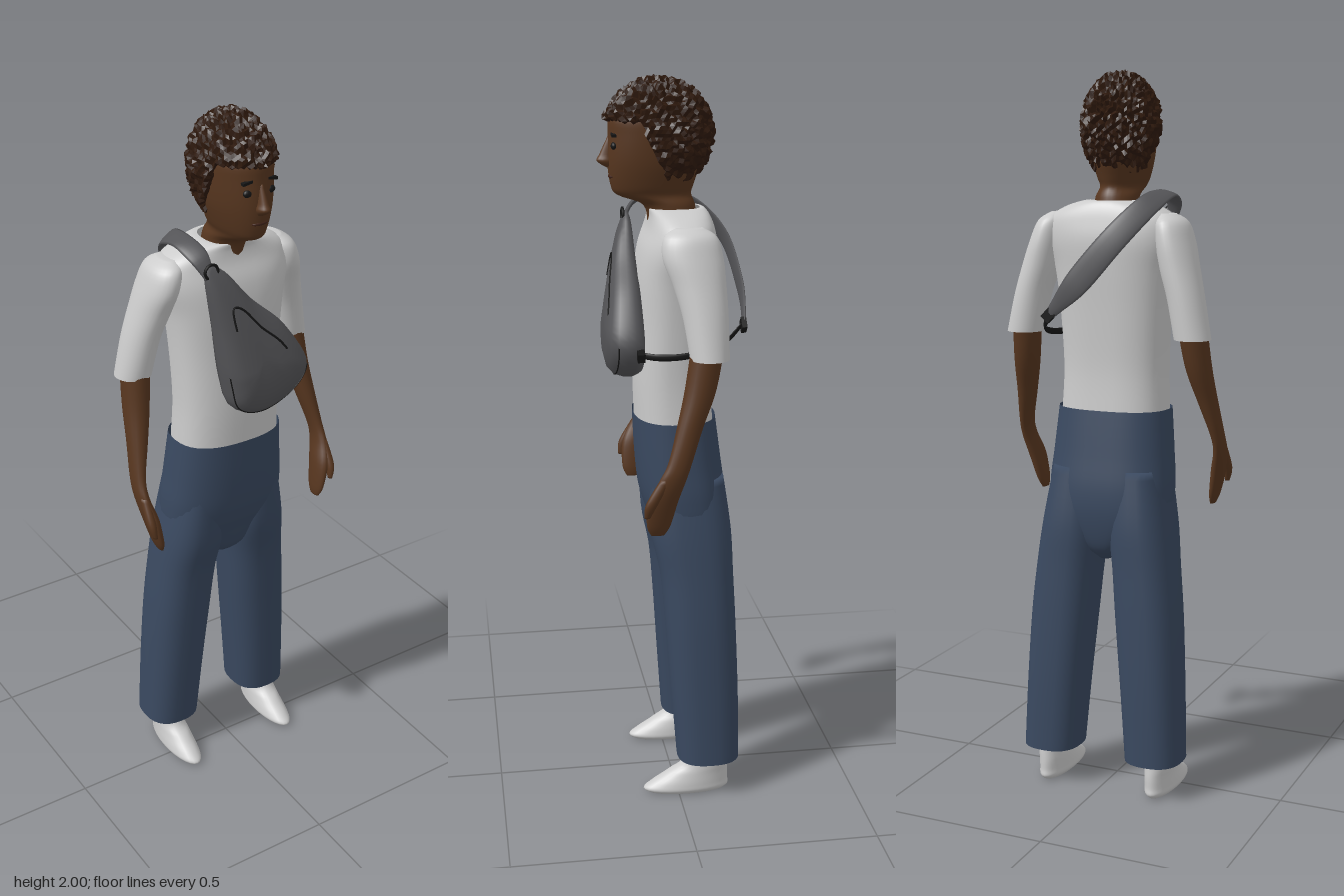
import * as THREE from 'three';

const mat = (color, extra = {}) => new THREE.MeshStandardMaterial({ color, side: THREE.DoubleSide, ...extra });
const CLOTH = mat(0xcccccc), SKIN = mat(0x57361f), DENIM = mat(0x3a4960), BAG = mat(0x555558);
const BLACK = mat(0x161616), HAIR = mat(0x2e190d, { flatShading: true });

// Smoothly subdivides rows of numbers (Catmull-Rom on every column)
function smooth(rows, sub) {
  const out = [];
  for (let i = 0; i < rows.length - 1; i++) {
    const a = rows[Math.max(i - 1, 0)], b = rows[i], c = rows[i + 1], d = rows[Math.min(i + 2, rows.length - 1)];
    for (let k = 0; k < sub; k++) {
      const t = k / sub;
      out.push(b.map((p, j) => p + 0.5 * t * (c[j] - a[j] + t * (2 * a[j] - 5 * p + 4 * c[j] - d[j]
        + t * (3 * (p - c[j]) + d[j] - a[j])))));
    }
  }
  out.push(rows[rows.length - 1]);
  return out;
}

// Skins closed rings of Vector3, with optional caps
function skin(rings, capStart = true, capEnd = true) {
  const n = rings[0].length, pts = rings.flat(), index = [];
  for (let i = 0; i < rings.length - 1; i++) {
    for (let j = 0; j < n; j++) {
      const a = i * n + j, b = i * n + (j + 1) % n;
      index.push(a, a + n, b, b, a + n, b + n);
    }
  }
  const cap = (ring, base, flip) => {
    const c = pts.length;
    pts.push(ring.reduce((s, p) => s.add(p), new THREE.Vector3()).divideScalar(n));
    for (let j = 0; j < n; j++) {
      const a = base + j, b = base + (j + 1) % n;
      flip ? index.push(c, b, a) : index.push(c, a, b);
    }
  };
  if (capStart) cap(rings[0], 0, false);
  if (capEnd) cap(rings[rings.length - 1], (rings.length - 1) * n, true);
  const g = new THREE.BufferGeometry().setFromPoints(pts);
  g.setIndex(index);
  g.computeVertexNormals();
  return g;
}

// Horizontal rings, rising: rows of [x, y, z, radiusX, radiusZ]; power > 2 squares the ring off
function loft(rows, { side = 1, power = 2, seg = 28, sub = 5, capStart = true, capEnd = true } = {}) {
  const bend = v => Math.sign(v) * Math.abs(v) ** (2 / power);
  return skin(smooth(rows, sub).map(([x, y, z, rx, rz]) => Array.from({ length: seg }, (_, j) => {
    const a = j / seg * Math.PI * 2;
    return new THREE.Vector3(side * x + rx * bend(Math.cos(a)), y, z + rz * bend(Math.sin(a)));
  })), capStart, capEnd);
}

// Flat band: rows of [x, y, z, halfWidth, widthDirX, widthDirY]
function band(rows, thick) {
  const path = smooth(rows, 8), at = i => new THREE.Vector3(...path[Math.min(Math.max(i, 0), path.length - 1)].slice(0, 3));
  return skin(path.map((p, i) => {
    const w = new THREE.Vector3(p[4], p[5], 0).normalize();
    const n = at(i + 1).sub(at(i - 1)).cross(w).normalize();
    return Array.from({ length: 10 }, (_, j) => {
      const a = j / 10 * Math.PI * 2;
      return at(i).addScaledVector(w, p[3] * Math.cos(a)).addScaledVector(n, thick * Math.sin(a));
    });
  }));
}

// Tufted hair cap, drawn in under the skin where the face shows
function hairGeometry() {
  const g = new THREE.IcosahedronGeometry(1, 15), pos = g.attributes.position, v = new THREE.Vector3();
  const hash = p => {
    const h = Math.sin(Math.round(p.x * 500) * 12.99 + Math.round(p.y * 500) * 78.23 + Math.round(p.z * 500) * 37.72) * 43758.55;
    return h - Math.floor(h);
  };
  for (let i = 0; i < pos.count; i++) {
    v.fromBufferAttribute(pos, i);
    const r = 0.95 + 0.13 * hash(v);
    const y = 1.85 + v.y * 0.145, z = 0.03 + v.z * 0.145;
    const face = y < 1.885 && z > (y - 1.7) * 0.5;
    v.multiplyScalar(face ? 0.72 : r);
    pos.setXYZ(i, v.x * 0.1, 1.85 + v.y * 0.145, 0.03 + v.z * 0.145);
  }
  g.computeVertexNormals();
  return g;
}

export function createModel() {
  const model = new THREE.Group();
  const add = (name, geometry, material, p = [0, 0, 0], rz = 0) => {
    const m = new THREE.Mesh(geometry, material);
    m.name = name;
    m.position.set(...p);
    m.rotation.z = rz;
    model.add(m);
    return m;
  };

  // Head and neck
  add('head', loft([
    [0, 1.61, -0.01, 0.06, 0.068], [0, 1.665, 0, 0.058, 0.07], [0, 1.693, 0.04, 0.054, 0.1],
    [0, 1.72, 0.045, 0.064, 0.112], [0, 1.78, 0.04, 0.08, 0.125], [0, 1.85, 0.04, 0.086, 0.123],
    [0, 1.9, 0.04, 0.084, 0.118], [0, 1.95, 0.035, 0.062, 0.085], [0, 1.97, 0.03, 0.02, 0.03]]), SKIN);
  add('hair', hairGeometry(), HAIR);
  add('nose', loft([[0, 1.765, 0.155, 0.01, 0.012], [0, 1.782, 0.167, 0.017, 0.026],
    [0, 1.8, 0.164, 0.012, 0.022], [0, 1.845, 0.152, 0.006, 0.012]], { seg: 14 }), SKIN);
  add('mouth', new THREE.SphereGeometry(1, 14, 8).scale(0.024, 0.006, 0.008), mat(0x43251a), [0, 1.742, 0.155]);
  for (const s of [1, -1]) {
    add('eye', new THREE.SphereGeometry(1, 14, 10).scale(0.013, 0.01, 0.008), BLACK, [s * 0.034, 1.824, 0.151]);
    add('eyebrow', new THREE.BoxGeometry(0.032, 0.007, 0.012), BLACK, [s * 0.035, 1.853, 0.152], -s * 0.15);
  }

  // Shirt
  add('shirtBody', loft([
    [0, 1.08, -0.01, 0.152, 0.106], [0, 1.2, -0.005, 0.148, 0.104], [0, 1.35, -0.01, 0.155, 0.105],
    [0, 1.47, -0.015, 0.168, 0.108], [0, 1.55, -0.022, 0.188, 0.104], [0, 1.605, -0.027, 0.185, 0.09],
    [0, 1.638, -0.025, 0.14, 0.082], [0, 1.656, -0.018, 0.085, 0.077], [0, 1.658, -0.012, 0.062, 0.07]],
  { power: 2.5, seg: 40, capStart: false, capEnd: false }), CLOTH);

  for (const side of [1, -1]) {
    add('sleeve', loft([
      [0.25, 1.295, -0.07, 0.05, 0.052], [0.228, 1.4, -0.062, 0.05, 0.06], [0.205, 1.48, -0.05, 0.052, 0.07],
      [0.186, 1.55, -0.035, 0.05, 0.08], [0.172, 1.602, -0.03, 0.042, 0.07], [0.16, 1.625, -0.03, 0.02, 0.035]],
    { side, capStart: false }), CLOTH);

    // Bare arm with mitten hand and thumb
    add('arm', loft([
      [0.262, 0.82, 0.07, 0.006, 0.018], [0.268, 0.85, 0.068, 0.013, 0.032], [0.282, 0.92, 0.058, 0.018, 0.04],
      [0.294, 0.98, 0.035, 0.016, 0.036], [0.292, 1.03, 0.014, 0.018, 0.032], [0.275, 1.12, -0.014, 0.027, 0.035],
      [0.258, 1.22, -0.045, 0.036, 0.042], [0.245, 1.35, -0.068, 0.04, 0.044]], { side, seg: 20 }), SKIN);
    add('thumb', loft([[0.292, 0.88, 0.102, 0.006, 0.008], [0.297, 0.92, 0.09, 0.012, 0.016],
      [0.296, 0.985, 0.052, 0.011, 0.016]], { side, seg: 14 }), SKIN);

    // Wide trouser leg, open at the cuff
    add('trouserLeg', loft([
      [0.157, 0.105, -0.088, 0.082, 0.088], [0.145, 0.3, -0.08, 0.086, 0.094], [0.13, 0.5, -0.07, 0.09, 0.098],
      [0.116, 0.65, -0.06, 0.089, 0.102], [0.1, 0.78, -0.045, 0.088, 0.112], [0.09, 0.93, -0.032, 0.07, 0.105]],
    { side, power: 2.5, capStart: false }), DENIM);

    // Sock foot with a low toe
    add('foot', loft([
      [0.165, 0, -0.025, 0.034, 0.11], [0.165, 0.012, -0.024, 0.044, 0.123], [0.165, 0.03, -0.034, 0.044, 0.111],
      [0.165, 0.06, -0.058, 0.041, 0.087], [0.167, 0.1, -0.08, 0.038, 0.062], [0.165, 0.22, -0.085, 0.036, 0.045]],
    { side }), CLOTH);
  }

  // Trouser hips
  add('trouserHips', loft([
    [0, 0.67, -0.055, 0.02, 0.04], [0, 0.71, -0.05, 0.075, 0.08], [0, 0.79, -0.045, 0.165, 0.105],
    [0, 0.87, -0.034, 0.178, 0.118], [0, 0.97, -0.022, 0.17, 0.117], [0, 1.092, -0.011, 0.159, 0.112]],
  { power: 2.5, seg: 40, capEnd: false }), DENIM);

  // Sling bag: teardrop outline, fuller towards the bottom
  const outline = new THREE.CatmullRomCurve3([[-0.125, 1.635], [-0.085, 1.622], [0, 1.525], [0.1, 1.43], [0.165, 1.31],
    [0.135, 1.25], [0.02, 1.2], [-0.06, 1.225], [-0.085, 1.3], [-0.108, 1.45]]
    .map(([x, y]) => new THREE.Vector3(x, y, 0)), true).getSpacedPoints(56).slice(0, 56);
  const depth = y => 0.02 + 0.068 * Math.min(1, Math.max(0, (1.63 - y) / 0.3)) ** 0.7;
  const layer = (s, d) => outline.map(p => {
    const y = 1.36 + (p.y - 1.36) * s;
    return new THREE.Vector3(0.01 + (p.x - 0.01) * s, y, 0.096 + depth(y) * d);
  });
  const rings = [[0.94, -0.1], [1, 0.15], [1, 0.4], [0.95, 0.68], [0.82, 0.9], [0.6, 1], [0.3, 1.03]].map(a => layer(...a));
  add('bagBody', skin(rings), BAG);
  const line = (name, pts, r) => add(name, new THREE.TubeGeometry(new THREE.CatmullRomCurve3(pts), 40, r, 6), BLACK);
  line('bagZip', [...rings[5].slice(-5), ...rings[5].slice(0, 18)], 0.003);
  line('bagSeam', rings[3].slice(22, 42), 0.002);

  // Padded strap over the right shoulder and across the back
  add('shoulderStrap', band([
    [-0.118, 1.605, 0.11, 0.014, 1, 0.4], [-0.133, 1.655, 0.08, 0.026, 1, 0.4], [-0.142, 1.677, 0.01, 0.028, 1, 0.3],
    [-0.128, 1.65, -0.085, 0.032, 0.8, 0.6], [-0.065, 1.565, -0.162, 0.036, 0.7, 0.7],
    [0.03, 1.45, -0.19, 0.036, 0.7, 0.7], [0.095, 1.38, -0.189, 0.02, 0.7, 0.7], [0.125, 1.35, -0.182, 0.012, 0.7, 0.7]],
  0.006), BAG);
  add('webbingStrap', band([
    [0.115, 1.36, -0.185, 0.009, 0.5, 0.8], [0.165, 1.315, -0.12, 0.009, 0.2, 1], [0.188, 1.292, -0.03, 0.009, 0, 1],
    [0.18, 1.286, 0.05, 0.009, 0, 1], [0.155, 1.292, 0.11, 0.009, 0, 1]], 0.003), BLACK);
  add('buckle', new THREE.BoxGeometry(0.034, 0.028, 0.014), BLACK, [0.12, 1.355, -0.184], -0.8);
  add('sideClip', new THREE.BoxGeometry(0.03, 0.024, 0.02), BLACK, [0.17, 1.29, 0.1], -0.3);
  add('strapRing', new THREE.TorusGeometry(0.019, 0.004, 8, 20), BLACK, [-0.115, 1.622, 0.112]);

  return model;
}
